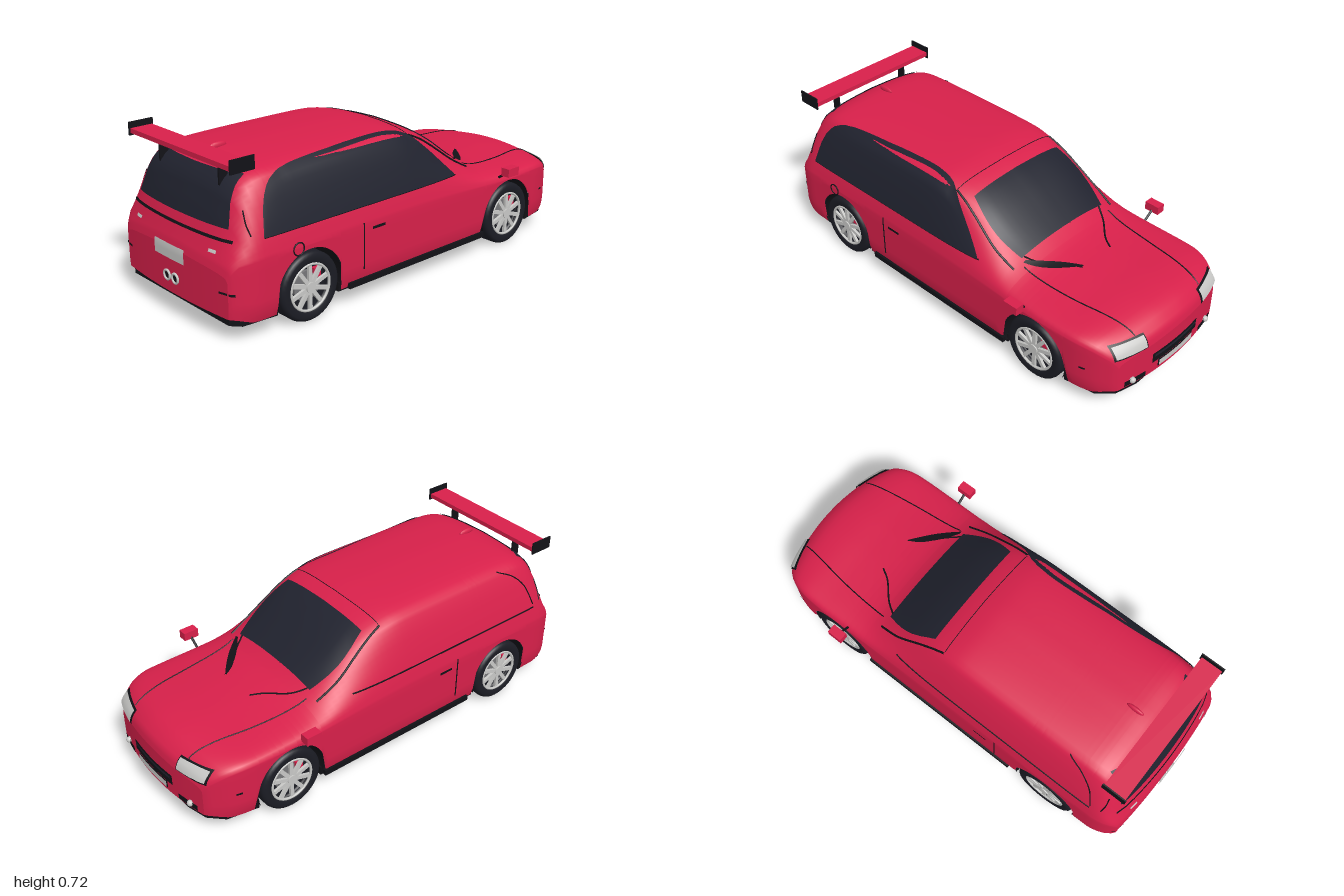
import * as THREE from 'three';

const paint = (name, color) => Object.assign(new THREE.MeshStandardMaterial({ color, side: THREE.DoubleSide }), { name });
const red = paint('red paint', 0xd8204a), glass = paint('dark glass', 0x20222e), black = paint('black trim', 0x121217);
const rubber = paint('tyre rubber', 0x1b1c24), silver = paint('silver', 0xc9c9c7), steel = paint('brake steel', 0x77777a);

// Smooth curve through points, looked up by its first coordinate
function lookup(points) {
  const pts = new THREE.SplineCurve(points.map(p => new THREE.Vector2(...p))).getPoints(160);
  return x => {
    let i = 1;
    while (i < pts.length - 1 && pts[i].x < x) i++;
    const a = pts[i - 1], b = pts[i];
    return a.y + (b.y - a.y) * THREE.MathUtils.clamp((x - a.x) / (b.x - a.x || 1), 0, 1);
  };
}
const REAR = -0.985, NOSE = 0.985, AXLES = [-0.61, 0.575], ARCH = 0.165, AXLE_Y = 0.145;
const roofLine = lookup([[REAR, 0.3], [-0.975, 0.345], [-0.95, 0.41], [-0.92, 0.51], [-0.89, 0.58], [-0.84, 0.628],
  [-0.77, 0.652], [-0.65, 0.66], [-0.35, 0.662], [-0.1, 0.66], [0, 0.648], [0.1, 0.617], [0.2, 0.562], [0.3, 0.49],
  [0.4, 0.42], [0.5, 0.39], [0.65, 0.377], [0.8, 0.374], [0.9, 0.36], [0.95, 0.335], [0.975, 0.305], [NOSE, 0.27]]);
const planWidth = lookup([[REAR, 0.86], [-0.96, 0.93], [-0.9, 0.985], [-0.8, 1], [-0.3, 1], [0.3, 1], [0.7, 1],
  [0.85, 0.965], [0.93, 0.91], [0.97, 0.84], [NOSE, 0.78]]);
const HOOD = [[0.403, 0.315], [0.39, 0.335], [0.35, 0.348], [0.28, 0.358], [0.18, 0.367], [0.08, 0.374], [0, 0.375]];
const CABIN = [[0.403, 0.33], [0.387, 0.4], [0.36, 0.49], [0.325, 0.58], [0.285, 0.63], [0.17, 0.652], [0, 0.66]];

// Lower edge of the body side, rising over the wheels
function sill(x) {
  let y = 0.08 + 0.025 * THREE.MathUtils.smoothstep(Math.abs(x), 0.88, 0.985);
  for (const c of AXLES) {
    const d = ARCH * ARCH - (x - c) ** 2;
    if (d > 0) y = Math.max(y, AXLE_Y + Math.sqrt(d));
  }
  return y;
}
const bend = (x, z) => x - Math.sign(x) * (x > 0 ? 0.045 : 0.018) * (z / 0.33) ** 2 * THREE.MathUtils.smoothstep(Math.abs(x), 0.75, 0.98);

// Half cross-section at x, from the sill up to the centre line
function section(x) {
  const top = roofLine(x), w = planWidth(x), c = Math.max(0, (top - 0.375) / 0.285), low = Math.min(1, top / 0.375);
  const upper = HOOD.map((h, i) => new THREE.Vector2(w * (h[0] + (CABIN[i][0] - h[0]) * c), low * (h[1] + (CABIN[i][1] - h[1]) * c)));
  const yb = Math.min(sill(x), upper[0].y - 0.002), out = [];
  for (let i = 0; i < 6; i++) {
    const y = yb + (upper[0].y - yb) * i / 6;
    out.push([w * (0.403 - 0.014 * Math.max(0, (0.14 - y) / 0.06) ** 2), y]);
  }
  return out.concat(new THREE.SplineCurve(upper).getPoints(20).map(p => [p.x, p.y]));
}

// Surface through rows of points
function surface(rows) {
  const n = rows[0].length, index = [], g = new THREE.BufferGeometry();
  for (let i = 0; i < rows.length - 1; i++) for (let j = 0; j < n - 1; j++) {
    const a = i * n + j, b = a + n;
    index.push(a, a + 1, b, b, a + 1, b + 1);
  }
  g.setAttribute('position', new THREE.Float32BufferAttribute(rows.flat(2), 3));
  g.setIndex(index);
  g.computeVertexNormals();
  return g;
}

export function createModel() {
  const car = new THREE.Group();
  car.name = 'car';
  const add = (name, geo, mat, x = 0, y = 0, z = 0, parent = car) => {
    const m = new THREE.Mesh(geo, mat);
    m.name = name;
    m.position.set(x, y, z);
    parent.add(m);
    return m;
  };
  const box = (w, h, d) => new THREE.BoxGeometry(w, h, d);

  // Body shell, with extra stations at the wheel arch edges
  const stations = [-0.98, -0.975, 0.975, 0.98, NOSE];
  for (let i = 0; i < 66; i++) stations.push(REAR + i * 0.03);
  for (const c of AXLES) for (let a = 0; a <= 16; a++) stations.push(c + 0.153 * Math.cos(a * Math.PI / 16));
  for (const c of AXLES) stations.push(c - 0.1535, c + 0.1535);
  stations.sort((a, b) => a - b);
  const xs = stations.filter((x, i) => x <= NOSE && (!i || x - stations[i - 1] > 0.0001));
  const shell = surface(xs.map(x => {
    const half = section(x).map(([z, y]) => [bend(x, z), y, z]);
    return half.concat(half.slice(0, -1).reverse().map(([px, y, z]) => [px, y, -z]));
  }));
  const body = [add('bodyShell', shell, red)];
  for (const [name, x] of [['tailPanel', REAR], ['nosePanel', NOSE]]) {
    body.push(add(name, surface(section(x).map(([z, y]) =>
      Array.from({ length: 17 }, (_, k) => [bend(x, z * (k / 8 - 1)), y, z * (k / 8 - 1)]))), red));
  }
  car.updateMatrixWorld(true);

  // Project a flat coordinate pair on to the body: left/right take x,y; top takes x,z; nose/tail take z,y
  const caster = new THREE.Raycaster();
  const sides = {
    near: (a, b) => [[a, b, 3], [0, 0, -1]], far: (a, b) => [[a, b, -3], [0, 0, 1]], top: (a, b) => [[a, 3, b], [0, -1, 0]],
    nose: (a, b) => [[3, b, a], [-1, 0, 0]], tail: (a, b) => [[-3, b, a], [1, 0, 0]],
  };
  let last = [0, 0, 0];
  function project(side, a, b, lift) {
    const [o, d] = sides[side](a, b), dir = new THREE.Vector3(...d);
    caster.set(new THREE.Vector3(...o), dir);
    const hit = caster.intersectObjects(body, false)[0];
    if (!hit) return last;
    const n = hit.face.normal.clone();
    if (n.dot(dir) > 0) n.negate();
    return (last = hit.point.addScaledVector(n, lift).toArray());
  }
  const decal = (name, mat, side, f, nu = 8, nv = 4, lift = 0.005) => add(name, surface(
    Array.from({ length: nu + 1 }, (_, i) => Array.from({ length: nv + 1 }, (_, j) => project(side, ...f(i / nu, j / nv), lift)))), mat);
  const rect = (a0, b0, a1, b1) => (u, v) => [a0 + (a1 - a0) * u, b0 + (b1 - b0) * v];
  function seam(name, side, pts, r = 0.0028) {
    const curve = new THREE.CatmullRomCurve3(pts.map(p => new THREE.Vector3(p[0], p[1], 0)));
    const path = curve.getPoints(pts.length * 6).map(p => new THREE.Vector3(...project(side, p.x, p.y, 0.001)));
    add(name, new THREE.TubeGeometry(new THREE.CatmullRomCurve3(path), path.length * 2, r, 5), black);
  }

  // Glass
  const windowTop = lookup([[-0.82, 0.412], [-0.8, 0.5], [-0.765, 0.57], [-0.71, 0.612], [-0.6, 0.63], [-0.3, 0.64],
    [-0.08, 0.638], [0.02, 0.612], [0.1, 0.545], [0.17, 0.475], [0.23, 0.412]]);
  decal('sideWindow', glass, 'near', (u, v) => {
    const x = -0.82 + 1.05 * u;
    return [x, 0.405 + (windowTop(x) - 0.405) * v];
  }, 50, 8);
  decal('windscreen', glass, 'top', (u, v) => [0.1 + 0.27 * u, (v * 2 - 1) * (0.255 + 0.025 * Math.sin(Math.PI * u))], 12, 16);
  decal('rearWindow', glass, 'tail', (u, v) => [(u * 2 - 1) * (0.3 - 0.04 * v), 0.44 + 0.18 * v], 16, 10);

  // Panel gaps and trim, on both sides
  for (const s of [1, -1]) {
    const side = s > 0 ? 'near' : 'far';
    seam('doorGap', side, [[-0.33, 0.14], [-0.33, 0.25], [-0.33, 0.34]]);
    seam('beltLine', side, [[-0.82, 0.405], [-0.4, 0.405], [0, 0.405], [0.24, 0.405]], 0.0035);
    seam('tailGap', side, [[-0.868, 0.42], [-0.873, 0.46], [-0.868, 0.51]]);
    decal('doorHandle', black, side, rect(-0.29, 0.305, -0.22, 0.317), 3, 1, 0.008);
    decal('marker', black, side, rect(0.81, 0.203, 0.835, 0.212), 2, 1);
    decal('marker', black, side, rect(-0.98 + 0.01, 0.203, -0.945, 0.212), 2, 1);
    seam('bonnetGap', 'top', [[0.4, s * 0.27], [0.65, s * 0.25], [0.93, s * 0.21]]);
    seam('pillarTrim', 'top', [[0.03, s * 0.285], [0.15, s * 0.3], [0.28, s * 0.315], [0.38, s * 0.31]], 0.005);
    seam('cowlTrim', 'top', [[0.37, s * 0.24], [0.43, s * 0.2], [0.51, s * 0.12], [0.56, s * 0.09]], 0.004);
    add('sideSkirt', box(0.82, 0.025, 0.02), black, 0, 0.088, s * 0.396);

    // Door mirrors
    const arm = new THREE.LineCurve3(new THREE.Vector3(0.515, 0.335, s * 0.395), new THREE.Vector3(0.515, 0.37, s * 0.445));
    add('mirrorArm', new THREE.TubeGeometry(arm, 1, 0.006, 6), black);
    add('mirror', box(0.07, 0.038, 0.042), red, 0.515, 0.379, s * 0.456);

    // Lamps
    const lampRect = (x0, y0, x1, y1) => rect(s * x0, y0, s * x1, y1);
    decal('headlampFrame', black, 'nose', lampRect(0.175, 0.268, 0.33, 0.323), 6, 4, 0.006);
    decal('headlamp', silver, 'nose', lampRect(0.182, 0.275, 0.323, 0.317), 6, 4, 0.011);
    decal('fogLampPanel', black, 'nose', lampRect(0.177, 0.115, 0.285, 0.142), 5, 2, 0.005);
    const fog = project('nose', s * 0.245, 0.133, 0.005);
    add('fogLamp', new THREE.SphereGeometry(0.014, 12, 8), silver, ...fog);
    decal('tailMarker', silver, 'tail', lampRect(0.23, 0.345, 0.27, 0.357), 3, 1, 0.006);
    const pipe = add('exhaust', new THREE.TorusGeometry(0.02, 0.005, 8, 18), silver, -0.988, 0.175, s * 0.028);
    pipe.rotation.y = Math.PI / 2;
    const bore = add('exhaustBore', new THREE.CircleGeometry(0.018, 16), black, -0.987, 0.175, s * 0.028);
    bore.rotation.y = -Math.PI / 2;
  }
  seam('rearPillarTrim', 'far', [[-0.82, 0.42], [-0.78, 0.52], [-0.72, 0.58], [-0.64, 0.62]]);
  seam('roofGap', 'top', [[0.03, -0.28], [0.035, 0], [0.03, 0.28]], 0.0015);
  decal('wiper', black, 'top', (u, v) => [0.385 + 0.175 * u, 0.255 - 0.17 * u + (v - 0.5) * 0.05 * Math.sin(Math.PI * (0.1 + 0.85 * u))], 8, 2, 0.007);
  seam('wiperArm', 'top', [[0.37, -0.05], [0.34, 0.05], [0.36, 0.14]], 0.003);
  const cap = add('fuelCap', new THREE.TorusGeometry(0.026, 0.003, 6, 20), black);
  cap.position.set(...project('near', -0.67, 0.325, 0.001));

  // Nose and tail fittings
  decal('grille', black, 'nose', rect(-0.145, 0.165, 0.145, 0.215), 8, 3, 0.006);
  decal('grilleSlot', glass, 'nose', rect(-0.135, 0.195, 0.135, 0.208), 8, 2, 0.009);
  decal('frontPlateFrame', black, 'nose', rect(-0.113, 0.13, 0.113, 0.167), 6, 2, 0.008);
  decal('frontPlate', silver, 'nose', rect(-0.108, 0.135, 0.108, 0.164), 6, 2, 0.011);
  decal('bootStrip', black, 'tail', rect(-0.33, 0.392, 0.33, 0.404), 14, 1, 0.006);
  decal('rearPlate', silver, 'tail', rect(-0.1, 0.255, 0.1, 0.315), 6, 4, 0.008);

  // Roof fin and rear wing
  const fin = add('roofFin', new THREE.SphereGeometry(1, 16, 8), red, -0.74, 0.66, 0);
  fin.scale.set(0.042, 0.016, 0.01);
  add('wing', box(0.1, 0.02, 0.68), red, -0.875, 0.684, 0);
  for (const s of [1, -1]) {
    add('wingEndPlate', box(0.112, 0.056, 0.006), black, -0.875, 0.692, s * 0.34);
    add('wingStrut', box(0.04, 0.1, 0.008), black, -0.862, 0.63, s * 0.2);
  }

  // Floor, notched around the wheels
  const edge = [[-0.955, 0.33], [-0.92, 0.37]];
  for (const c of AXLES) edge.push([c - 0.155, 0.385], [c - 0.155, 0.25], [c + 0.155, 0.25], [c + 0.155, 0.385]);
  edge.push([0.87, 0.36], [0.93, 0.3], [0.955, 0.2]);
  const outline = edge.concat([...edge].reverse().map(([x, z]) => [x, -z])).map(p => new THREE.Vector2(...p));
  const floor = new THREE.ExtrudeGeometry(new THREE.Shape(outline), { depth: 0.04, bevelEnabled: false });
  add('floor', floor.rotateX(Math.PI / 2), black, 0, 0.112, 0);

  // Wheels and wheel wells
  const profile = [[0.098, 0.05], [0.106, 0.058], [0.13, 0.06], [0.141, 0.052], [0.145, 0.04], [0.145, 0.012], [0.14, 0.01], [0.14, 0.004], [0.145, 0.002]];
  const tyrePoints = profile.concat([...profile].reverse().map(([r, y]) => [r, -y])).map(p => new THREE.Vector2(...p));
  const tyre = new THREE.LatheGeometry(tyrePoints, 40).rotateX(Math.PI / 2);
  const disc = (r, h) => new THREE.CylinderGeometry(r, r, h, 32).rotateX(Math.PI / 2);
  for (const x of AXLES) for (const s of [1, -1]) {
    const wheel = new THREE.Group();
    wheel.name = x > 0 ? 'frontWheel' : 'rearWheel';
    wheel.position.set(x, AXLE_Y, s * 0.344);
    if (s < 0) wheel.rotation.y = Math.PI;
    car.add(wheel);
    add('tyre', tyre, rubber, 0, 0, 0, wheel);
    add('wheelBack', disc(0.1, 0.06), rubber, 0, 0, -0.01, wheel);
    add('brakeDisc', disc(0.065, 0.012), steel, 0, 0, 0.026, wheel);
    add('brakeCaliper', box(0.035, 0.04, 0.02), red, 0.047, 0.047, 0.032, wheel);
    add('rimLip', new THREE.TorusGeometry(0.097, 0.006, 8, 40), silver, 0, 0, 0.052, wheel);
    add('hub', disc(0.022, 0.02), silver, 0, 0, 0.049, wheel);
    for (let i = 0; i < 10; i++) {
      const spoke = add('spoke', box(0.08, 0.017, 0.012).translate(0.056, 0, 0), silver, 0, 0, 0.048, wheel);
      spoke.rotation.z = i * Math.PI / 5 + Math.PI / 10;
    }
    const well = new THREE.CylinderGeometry(ARCH, ARCH, 0.15, 28, 1, true, Math.PI / 2 - 0.35, Math.PI + 0.7).rotateX(Math.PI / 2);
    add('wheelWell', well, black, x, AXLE_Y, s * 0.322);
    add('wheelWellWall', new THREE.CircleGeometry(ARCH, 28, -0.35, Math.PI + 0.7), black, x, AXLE_Y, s * 0.25);
  }
  return car;
}
